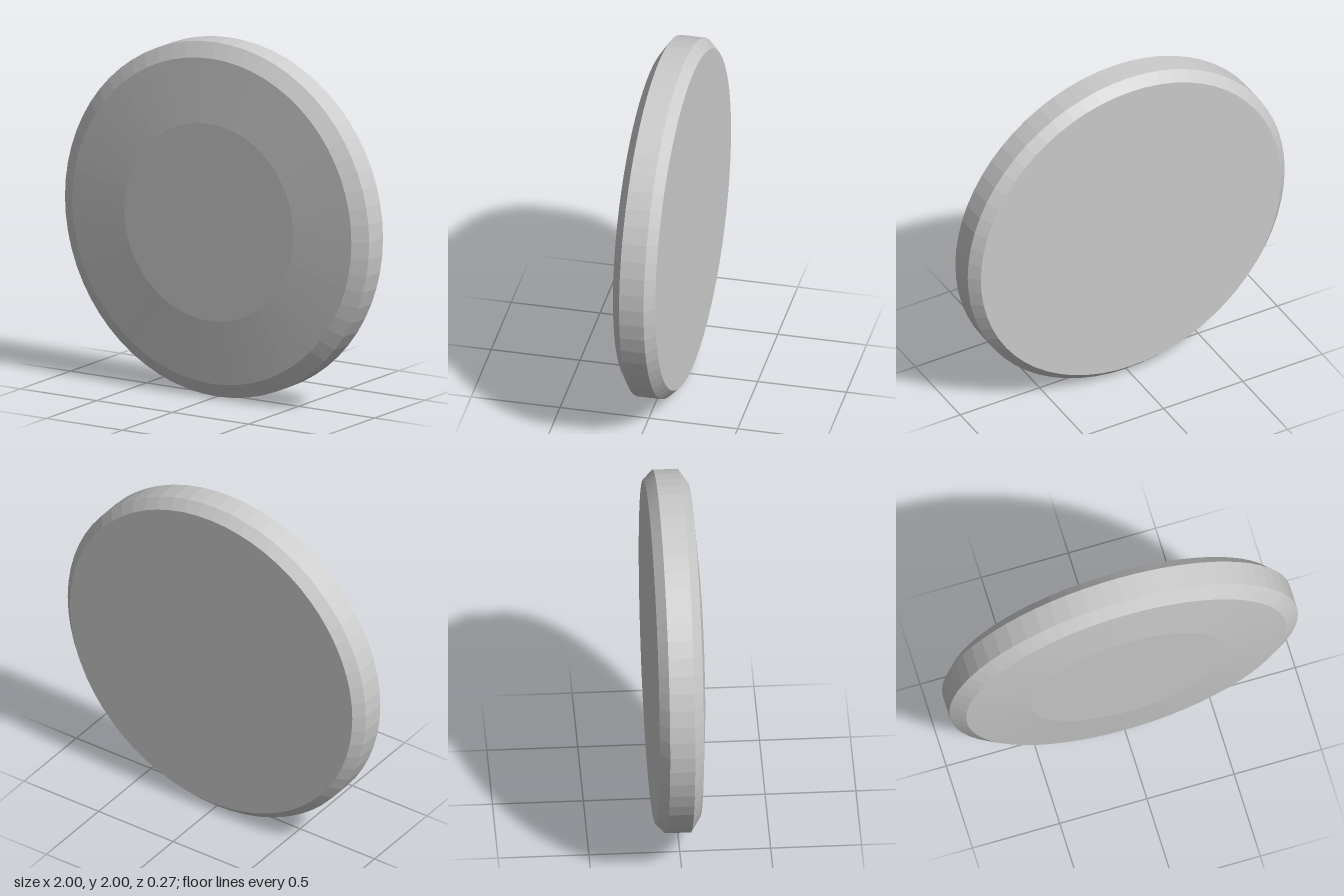
import * as THREE from 'three';

export function createModel() {
  const group = new THREE.Group();
  group.name = 'disc';

  // Cross-section as [radius, depth], from the flat back to the crowned front
  const profile = [
    [0, -0.137],
    [0.947, -0.137], // flat back
    [1, -0.083],     // back bevel
    [1, 0.055],      // rim
    [0.918, 0.108],  // front bevel
    [0.556, 0.137],  // shallow front slope
    [0, 0.137],      // flat centre
  ].map(([r, d]) => new THREE.Vector2(r, d));

  const geometry = new THREE.LatheGeometry(profile, 64);
  geometry.rotateX(Math.PI / 2); // turn the axis to face +z
  geometry.translate(0, 1, 0);

  const body = new THREE.Mesh(
    geometry,
    new THREE.MeshStandardMaterial({ color: 0xcccccc, flatShading: true })
  );
  body.name = 'discBody';
  group.add(body);
  return group;
}
